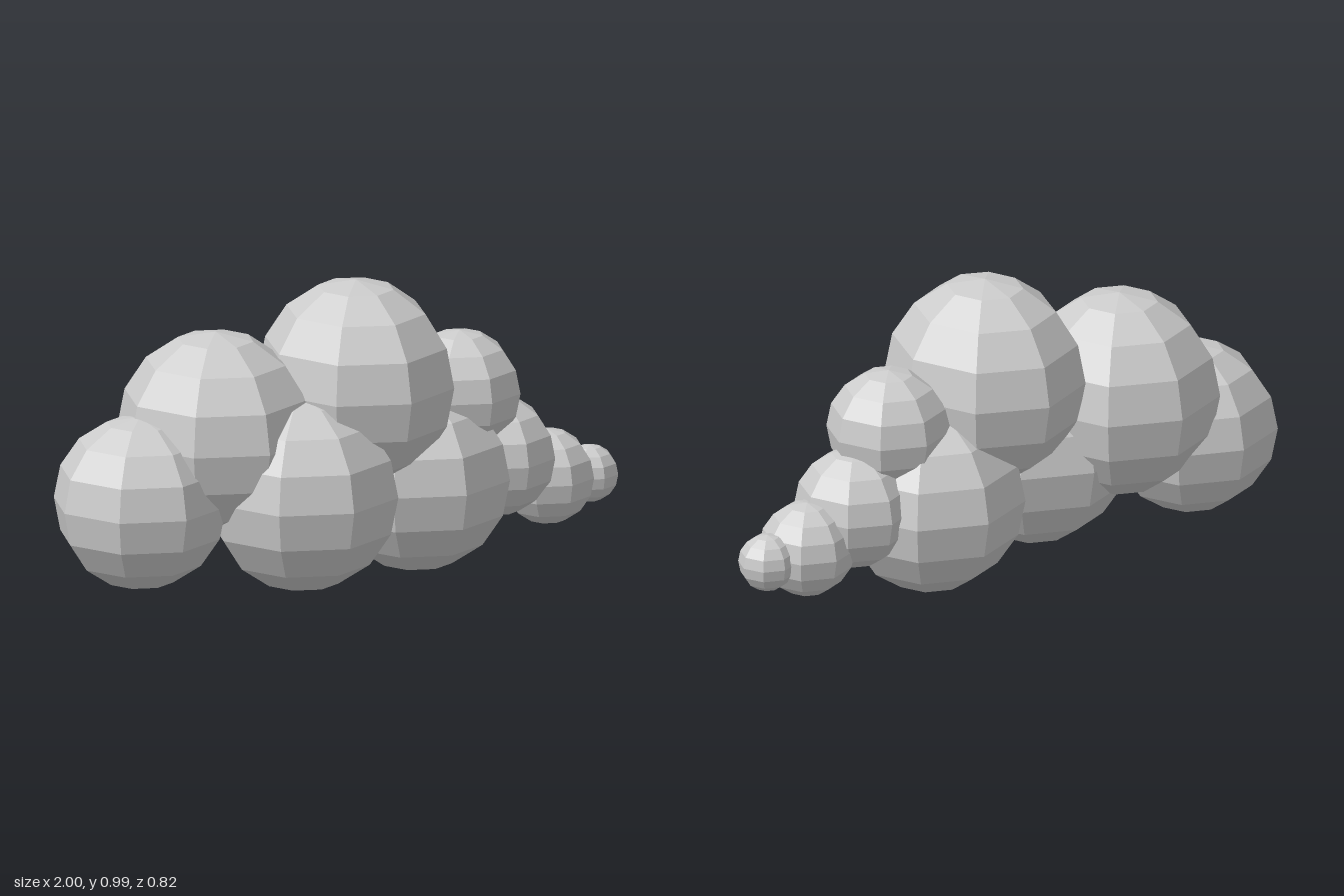
import * as THREE from 'three';

// Each puff: name, centre x, y, z, and radius along x, y, z
const PUFFS = [
  ['crownPuff', 0.03, 0.655, 0.017, 0.312, 0.336, 0.337],
  ['upperLeftPuff', -0.435, 0.527, -0.08, 0.318, 0.335, 0.33],
  ['endPuff', -0.718, 0.34, -0.08, 0.282, 0.28, 0.282],
  ['frontBasePuff', -0.219, 0.342, 0.09, 0.315, 0.318, 0.32],
  ['rightBasePuff', 0.267, 0.31, -0.003, 0.307, 0.307, 0.308],
  ['shoulderPuff', 0.416, 0.573, 0.018, 0.2, 0.199, 0.2],
  ['tailPuffLarge', 0.557, 0.34, 0.013, 0.19, 0.195, 0.198],
  ['tailPuffMedium', 0.747, 0.245, 0.013, 0.154, 0.155, 0.154],
  ['tailPuffSmall', 0.903, 0.233, 0.017, 0.095, 0.093, 0.093],
];

export function createModel() {
  const cloud = new THREE.Group();
  cloud.name = 'cloud';
  const material = new THREE.MeshStandardMaterial({ color: 0xcccccc, flatShading: true });
  // One faceted ball shared by every puff
  const ball = new THREE.SphereGeometry(1, 8, 8);

  for (const [name, x, y, z, rx, ry, rz] of PUFFS) {
    const puff = new THREE.Mesh(ball, material);
    puff.name = name;
    puff.position.set(x, y, z);
    puff.scale.set(rx, ry, rz);
    cloud.add(puff);
  }
  return cloud;
}
